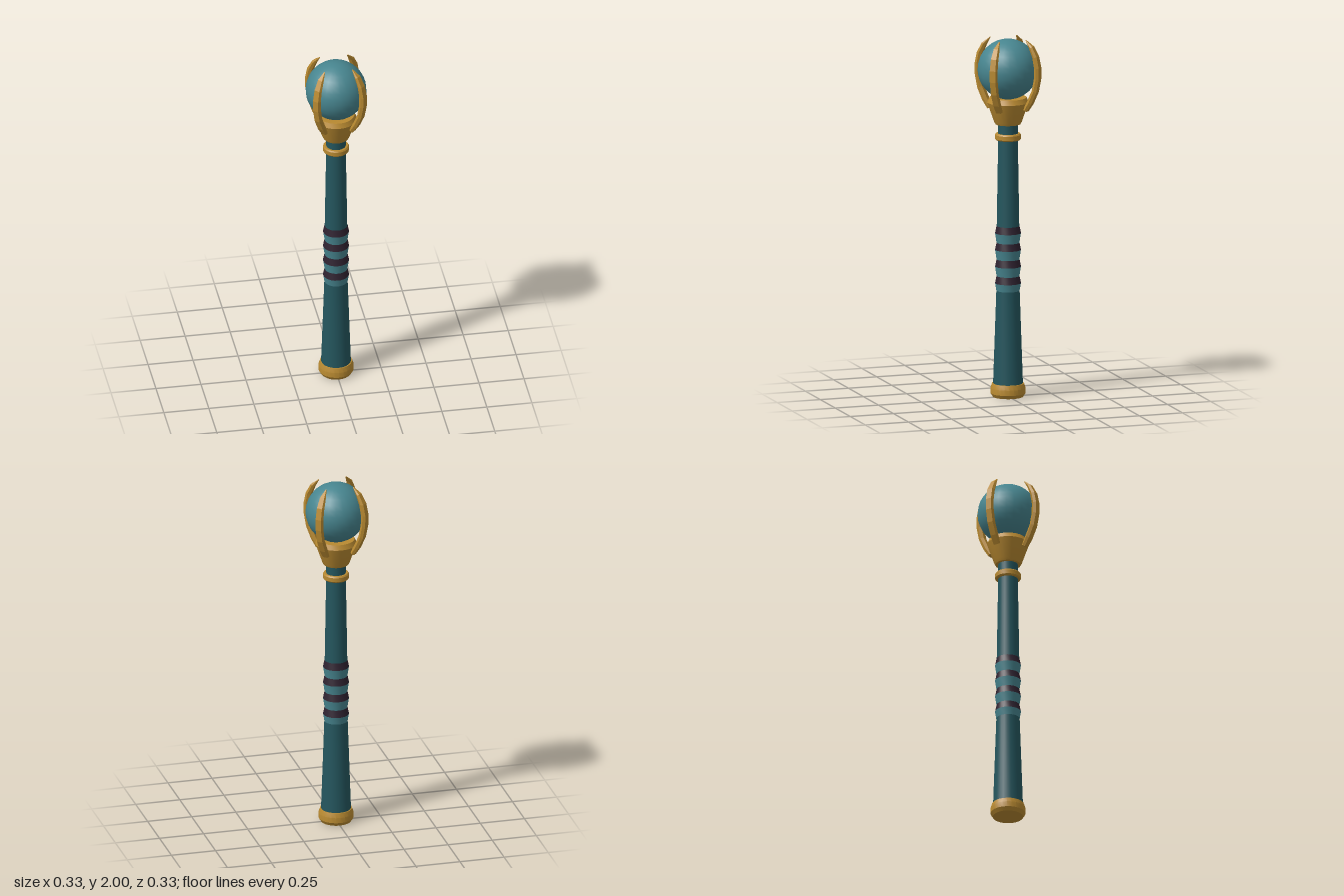
import * as THREE from 'three';
import { toCreasedNormals } from 'three/addons/utils/BufferGeometryUtils.js';

const SIDES = 24;

function material(name, color) {
  const m = new THREE.MeshStandardMaterial({ color });
  m.name = name;
  return m;
}

export function createModel() {
  const model = new THREE.Group();
  model.name = 'sceptre';
  const gold = material('gold', 0xb98a31);
  const darkTeal = material('dark teal', 0x24565e);
  const lightTeal = material('light teal', 0x47858f);
  const wrap = material('dark wrap', 0x2f2230);

  // Turned part from [radius, height] pairs, listed bottom to top
  function turned(name, mat, profile) {
    const points = profile.map(([r, y]) => new THREE.Vector2(r, y));
    const mesh = new THREE.Mesh(toCreasedNormals(new THREE.LatheGeometry(points, SIDES), 0.35), mat);
    mesh.name = name;
    model.add(mesh);
  }

  turned('pommel', gold, [[0, 0], [0.083, 0], [0.096, 0.02], [0.096, 0.05], [0.088, 0.075], [0, 0.075]]);
  turned('lowerShaft', darkTeal, [[0.082, 0.07], [0.064, 0.592]]);
  turned('upperShaft', darkTeal, [[0.062, 0.945], [0.054, 1.43], [0.054, 1.53]]);
  turned('collar', gold, [[0.052, 1.432], [0.066, 1.432], [0.071, 1.438], [0.071, 1.461], [0.066, 1.468], [0.052, 1.468]]);
  turned('cup', gold, [[0, 1.52], [0.069, 1.52], [0.077, 1.535], [0.114, 1.642], [0.102, 1.669], [0.075, 1.669], [0, 1.655]]);

  // Grip: flared dark bands alternating with tapering teal bands
  const bandBottoms = [0.633, 0.726, 0.819, 0.912];
  bandBottoms.forEach((y, i) => {
    turned('gripBand' + i, wrap, [[0.071, y], [0.063, y + 0.04]]);
    turned('gripGap' + i, lightTeal, [[i ? 0.063 : 0.064, y - (i ? 0.053 : 0.042)], [0.071, y]]);
  });

  const orb = new THREE.Mesh(new THREE.SphereGeometry(0.167, SIDES, 16), lightTeal);
  orb.name = 'orb';
  orb.position.y = 1.826;
  model.add(orb);

  // Claw: hexagonal section swept along a curve, tapering to the tip
  const path = [
    [0.108, 1.605, 0.85], [0.135, 1.65, 1], [0.165, 1.715, 1], [0.179, 1.785, 1],
    [0.18, 1.845, 1], [0.168, 1.905, 0.95], [0.143, 1.957, 0.75], [0.108, 1.996, 0.12],
  ];
  const section = [[0.015, 0.017], [0, 0.024], [-0.015, 0.014], [-0.015, -0.014], [0, -0.024], [0.015, -0.017]];
  const n = section.length;
  const positions = [], index = [];
  path.forEach(([r, y, s], i) => {
    const a = path[Math.max(i - 1, 0)], b = path[Math.min(i + 1, path.length - 1)];
    const t = new THREE.Vector2(b[0] - a[0], b[1] - a[1]).normalize();
    for (const [out, side] of section) {
      positions.push(r + t.y * out * s, y - t.x * out * s, -side * s);
    }
  });
  // The section runs from the outer side inwards, so its corners go round the path
  for (let i = 0; i < path.length - 1; i++) {
    for (let j = 0; j < n; j++) {
      const a = i * n + j, b = i * n + (j + 1) % n;
      index.push(a, b, b + n, a, b + n, a + n);
    }
  }
  const last = (path.length - 1) * n;
  for (let j = 1; j < n - 1; j++) {
    index.push(0, j + 1, j, last, last + j, last + j + 1);
  }
  const indexed = new THREE.BufferGeometry();
  indexed.setAttribute('position', new THREE.Float32BufferAttribute(positions, 3));
  indexed.setIndex(index);
  const clawGeometry = indexed.toNonIndexed();
  clawGeometry.computeVertexNormals();

  for (let k = 0; k < 4; k++) {
    const claw = new THREE.Mesh(clawGeometry, gold);
    claw.name = 'claw' + k;
    claw.rotation.y = Math.PI / 4 + k * Math.PI / 2;
    model.add(claw);
  }
  return model;
}
